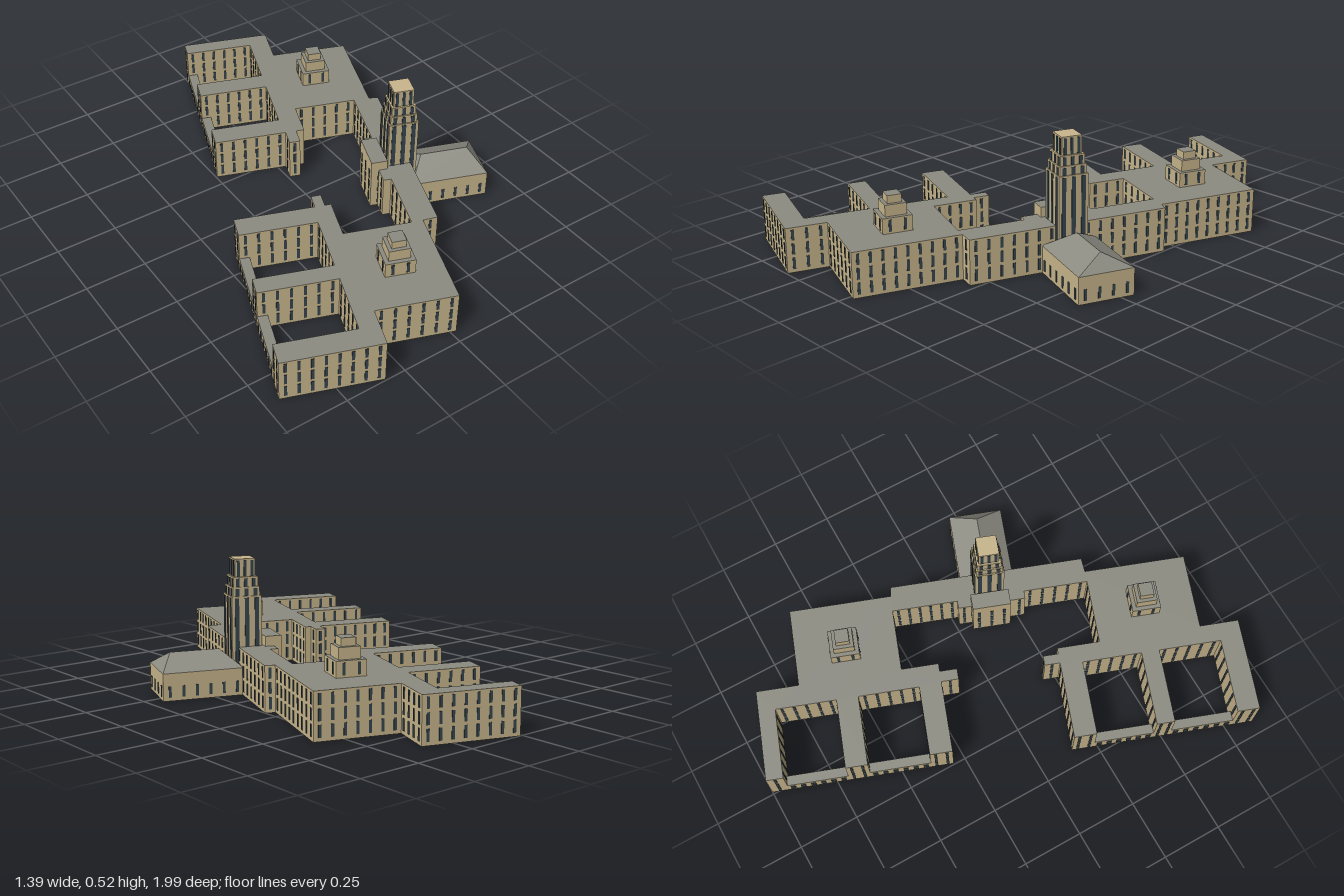
import * as THREE from 'three';
import { mergeGeometries } from 'three/addons/utils/BufferGeometryUtils.js';

const mat = (color) => new THREE.MeshStandardMaterial({ color, side: THREE.DoubleSide, flatShading: true });
const stone = mat(0xc8b68c), roofGrey = mat(0x8c8c82), glass = mat(0x35444e);

const rect = (cx, cz, w, d = w) => [
  [cx + w / 2, cz + d / 2], [cx + w / 2, cz - d / 2],
  [cx - w / 2, cz - d / 2], [cx - w / 2, cz + d / 2],
];

function polygonGeometry(points) {
  const g = new THREE.BufferGeometry();
  g.setAttribute('position', new THREE.Float32BufferAttribute(points.flat(), 3));
  g.computeVertexNormals();
  return g;
}

// Open-bottomed block over an outline of [x, z] corners, with rows of windows on every wall
function block(name, outline, y0, y1, { rows = [], spacing = 0.049, width = 0.011, top = roofGrey } = {}) {
  const group = new THREE.Group();
  group.name = name;
  const add = (part, geometry, material) => {
    const mesh = new THREE.Mesh(geometry, material);
    mesh.name = name + part;
    group.add(mesh);
  };
  const walls = [], panes = [];
  outline.forEach(([ax, az], i) => {
    const [bx, bz] = outline[(i + 1) % outline.length];
    const a = [ax, y0, az], b = [bx, y0, bz], c = [bx, y1, bz], d = [ax, y1, az];
    walls.push(a, b, c, a, c, d);
    const length = Math.hypot(bx - ax, bz - az);
    const count = length < 0.035 ? 0 : Math.max(1, Math.round(length / spacing));
    for (let k = 0; k < count; k++) {
      const t = (k + 0.5) / count;
      for (const [w0, w1] of rows) {
        const pane = new THREE.BoxGeometry(width, w1 - w0, 0.004);
        pane.rotateY(-Math.atan2(bz - az, bx - ax));
        pane.translate(ax + (bx - ax) * t, (w0 + w1) / 2, az + (bz - az) * t);
        panes.push(pane);
      }
    }
  });
  add('Walls', polygonGeometry(walls), stone);
  const shape = new THREE.Shape(outline.map(([x, z]) => new THREE.Vector2(x, -z)));
  add('Roof', new THREE.ShapeGeometry(shape).rotateX(-Math.PI / 2).translate(0, y1, 0), top);
  if (panes.length) add('Windows', mergeGeometries(panes), glass);
  return group;
}

// One end of the complex: square front block, spine and three rear wings
function endOutline({ front, spine, inner, back, stub, z }) {
  const [blockIn, blockOut, end, endIn, mid0, mid1, near0, near1, stubEnd] = z;
  return [
    [front, blockIn], [front, blockOut], [spine, blockOut], [spine, end],
    [back, end], [back, endIn], [inner, endIn], [inner, mid0],
    [back, mid0], [back, mid1], [inner, mid1], [inner, near0],
    [back, near0], [back, near1], [stub[0], near1], [stub[0], stubEnd],
    [stub[1], stubEnd], [stub[1], near1], [spine, near1], [spine, blockIn], [0.3, blockIn],
  ];
}

export function createModel() {
  const model = new THREE.Group();
  model.name = 'buildingComplex';
  const site = new THREE.Group();
  site.name = 'site';
  site.rotation.y = -THREE.MathUtils.degToRad(20);
  model.add(site);

  // Main building
  const ends = [
    { front: 0.367, spine: 0.042, inner: -0.045, back: -0.333, stub: [-0.037, 0.008],
      z: [-0.35, -0.77, -0.943, -0.874, -0.627, -0.538, -0.29, -0.198, -0.127] },
    { front: 0.346, spine: 0.029, inner: -0.047, back: -0.356, stub: [-0.036, 0.004],
      z: [0.466, 0.887, 1.048, 0.957, 0.7, 0.626, 0.382, 0.29, 0.227] },
  ];
  const outline = [
    [0.406, -0.345], ...endOutline(ends[0]),
    [0.3, -0.08], [0.268, -0.08], [0.268, 0.2], [0.3, 0.2],
    ...endOutline(ends[1]).reverse(), [0.406, 0.462],
  ];
  const floors = [[0.014, 0.06], [0.073, 0.117], [0.13, 0.172]];
  site.add(block('mainBuilding', outline, 0, 0.18, { rows: floors }));

  // Low galleries closing the courtyards
  for (const { back, z } of ends) {
    for (const [a, b] of [[z[3], z[4]], [z[5], z[6]]]) {
      site.add(block('courtyardGallery', rect(back + 0.02, (a + b) / 2, 0.04, Math.abs(b - a)), 0, 0.06,
        { rows: [[0.015, 0.045]], spacing: 0.04, width: 0.02 }));
    }
  }

  // Stepped roof pavilions
  for (const z of [-0.565, 0.675]) {
    site.add(block('pavilionBase', rect(0.172, z, 0.117), 0.18, 0.241, { rows: [[0.188, 0.234]], spacing: 0.055 }));
    site.add(block('pavilionMiddle', rect(0.172, z, 0.084), 0.241, 0.286));
    site.add(block('pavilionTop', rect(0.172, z, 0.056), 0.286, 0.317));
  }

  // Central tower with setbacks
  let y = 0;
  for (const [size, top] of [[0.12, 0.38], [0.109, 0.416], [0.098, 0.455], [0.082, 0.525]]) {
    site.add(block('towerTier', rect(0.37, 0.057, size), y, top,
      { rows: [[y, top - 0.006]], spacing: size / 3, width: size * 0.14, top: stone }));
    y = top;
  }

  // Rear entrance block behind the tower
  site.add(block('rearEntrance', rect(0.27, 0.055, 0.066, 0.158), 0, 0.22, { rows: floors }));

  // Front hall and its hipped roof
  const hall = rect(0.56, 0.061, 0.32, 0.223);
  site.add(block('frontHall', hall, 0, 0.108, { rows: [[0.014, 0.058]], spacing: 0.052 }));
  const [p, q, r, s] = hall.map(([x, z]) => [x, 0.108, z]);
  const outer = [0.665, 0.167, 0.061], inner = [0.468, 0.167, 0.061];
  const hip = new THREE.Mesh(polygonGeometry([
    p, q, outer, r, s, inner,
    q, r, inner, q, inner, outer,
    s, p, outer, s, outer, inner,
  ]), roofGrey);
  hip.name = 'hallHippedRoof';
  site.add(hip);

  return model;
}
